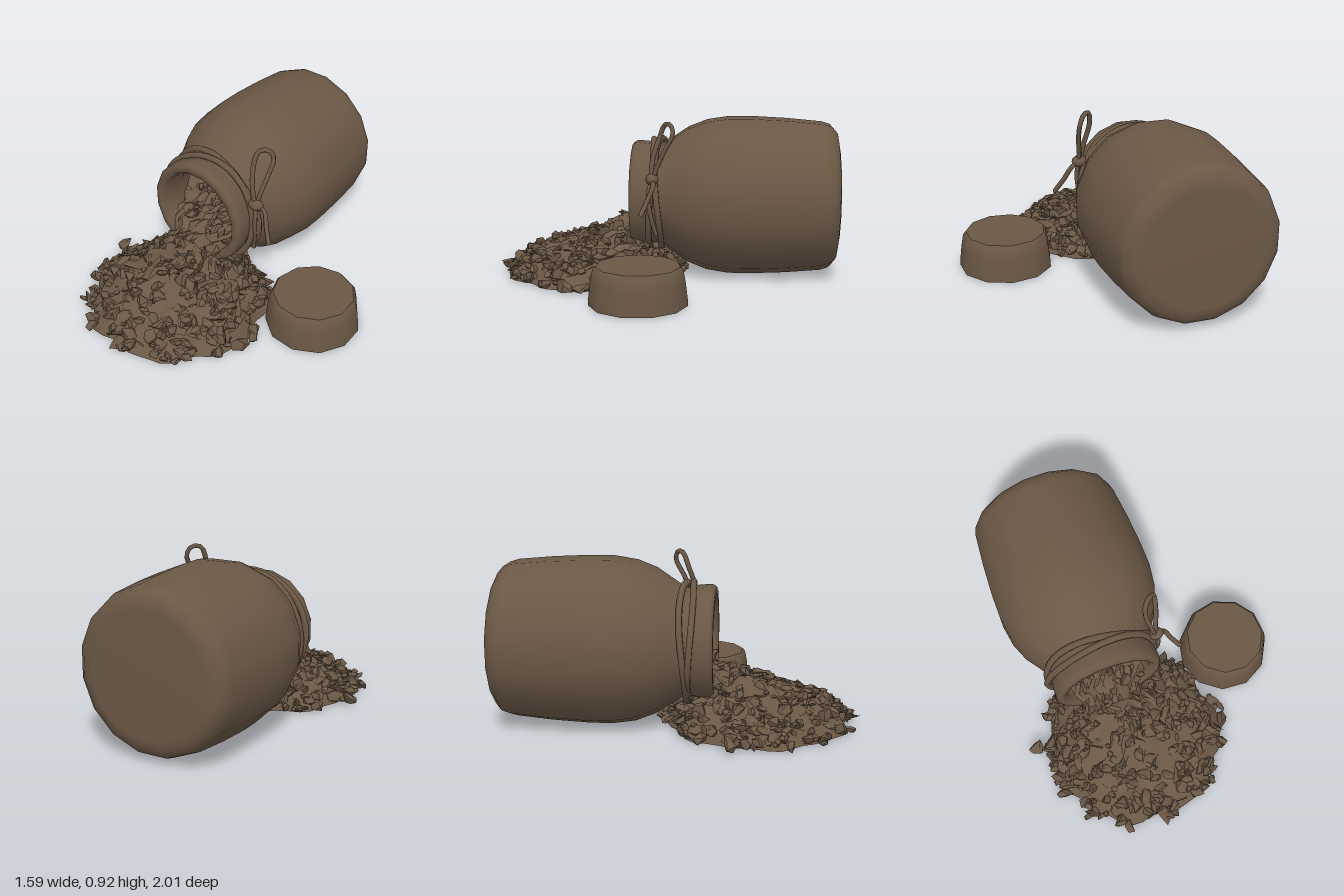
import * as THREE from 'three';
import { mergeGeometries, toCreasedNormals } from 'three/addons/utils/BufferGeometryUtils.js';

const JX = -0.24, JY = 0.46; // jar axis
const PX = -0.18, PZ = 0.44, PR = 0.51; // pile footprint

function seeded(seed) {
  return () => {
    seed = (seed * 1664525 + 1013904223) % 4294967296;
    return seed / 4294967296;
  };
}

// bumpy relief for loose material
const bump = (x, z) =>
  Math.sin(37 * x + 11 * z) * Math.cos(41 * z - 13 * x) * 0.6 + Math.sin(71 * x - 53 * z) * 0.4;

// point on the heap: angle a, t = 0 at the apex and 1 at the rim
function heapPoint(a, t) {
  const ax = JX + 0.02, az = 0.22;
  const r = PR * (1 + 0.035 * Math.sin(7 * a) + 0.025 * Math.cos(13 * a));
  const x = THREE.MathUtils.lerp(ax, PX + Math.cos(a) * r, t);
  const z = THREE.MathUtils.lerp(az, PZ + Math.sin(a) * r, t);
  const y = 0.03 + 0.28 * Math.pow(Math.max(0, 1 - t), 0.75);
  return new THREE.Vector3(x, y, z);
}

const innerRadius = (z) => 0.25 + 0.165 * THREE.MathUtils.smoothstep(-z, -0.05, 0.28);
const fillHeight = (z) => 0.43 - 0.1 * THREE.MathUtils.smoothstep(z, -0.2, 0.28);

function warp(geo, rule) {
  const p = geo.attributes.position, v = new THREE.Vector3();
  for (let i = 0; i < p.count; i++) {
    v.fromBufferAttribute(p, i);
    rule(v);
    p.setXYZ(i, v.x, v.y, v.z);
  }
  geo.computeVertexNormals();
  return geo;
}

// irregular angular lump
function chunk(center, size, rand) {
  const k = rand() * 20;
  const geo = warp(new THREE.IcosahedronGeometry(1, 0), (v) =>
    v.multiplyScalar(1 + 0.3 * Math.sin(k + v.x * 5 + v.y * 7 + v.z * 9)));
  geo.scale(size * (0.7 + rand() * 0.7), size * (0.35 + rand() * 0.5), size * (0.7 + rand() * 0.6));
  geo.rotateX((rand() - 0.5) * 1.8).rotateY(rand() * 6.28).rotateZ((rand() - 0.5) * 1.8);
  geo.translate(center.x, center.y, center.z);
  return warp(geo, (v) => { v.y = Math.max(0.005, v.y); });
}

export function createModel() {
  const group = new THREE.Group();
  const clay = new THREE.MeshStandardMaterial({ color: 0x6b5846 });
  clay.name = 'brown clay';
  const claySheet = clay;
  const rand = seeded(17);
  const add = (name, geo, parent = group) => {
    const mesh = new THREE.Mesh(geo, claySheet);
    mesh.name = name;
    parent.add(mesh);
    return mesh;
  };

  // jar: outer wall, lip, then inner wall
  const profile = [
    [0, -0.995], [0.33, -0.995], [0.385, -0.985], [0.425, -0.95], [0.44, -0.9], [0.458, -0.7],
    [0.468, -0.5], [0.468, -0.36], [0.448, -0.23], [0.405, -0.12], [0.345, -0.03], [0.305, 0.03],
    [0.298, 0.06], [0.312, 0.1], [0.318, 0.16], [0.317, 0.19], [0.305, 0.208], [0.27, 0.208],
    [0.252, 0.18], [0.25, 0.05], [0.3, -0.06], [0.4, -0.22], [0.425, -0.4], [0.41, -0.88], [0.35, -0.95], [0, -0.96],
  ].map(([r, y]) => new THREE.Vector2(r, y));
  const jar = add('jar', new THREE.LatheGeometry(profile, 16, Math.PI / 16));
  jar.rotation.x = Math.PI / 2;
  jar.position.set(JX, JY, 0);

  // cord wound twice around the neck
  const cord = new THREE.Group();
  cord.name = 'cord';
  group.add(cord);
  for (const [z, tilt, r] of [[0.045, 0.018, 0.326], [0.085, -0.012, 0.325]]) {
    const pts = [];
    for (let i = 0; i < 16; i++) {
      const a = (i / 16) * Math.PI * 2;
      const rr = r + 0.008 * Math.sin(3 * a + z * 50);
      pts.push(new THREE.Vector3(JX + Math.cos(a) * rr, JY + Math.sin(a) * rr, z + tilt * Math.sin(2 * a)));
    }
    add('cordRing', new THREE.TubeGeometry(new THREE.CatmullRomCurve3(pts, true), 40, 0.019, 6, true), cord);
  }
  const strand = (name, pts, closed = false) =>
    add(name, new THREE.TubeGeometry(
      new THREE.CatmullRomCurve3(pts.map((p) => new THREE.Vector3(...p)), closed), 24, 0.014, 6, closed), cord);
  strand('cordLoop', [[0.09, 0.6, 0.07], [0.065, 0.7, 0.07], [0.042, 0.83, 0.03], [0.055, 0.905, 0],
    [0.095, 0.908, -0.035], [0.12, 0.86, -0.05], [0.115, 0.76, 0], [0.1, 0.67, 0.04]], true);
  strand('cordTail', [[0.09, 0.6, 0.07], [0.14, 0.57, 0.06], [0.18, 0.49, 0.09], [0.225, 0.41, 0.125]]);
  strand('cordTail', [[0.09, 0.6, 0.07], [0.1, 0.52, 0.09], [0.09, 0.4, 0.08], [0.06, 0.27, 0.05]]);
  const knot = add('knot', new THREE.IcosahedronGeometry(0.042, 1), cord);
  knot.position.set(0.09, 0.6, 0.07);
  knot.scale.set(1.1, 0.8, 0.9);

  // lid lying flat beside the jar
  const lidProfile = [[0, 0.004], [0.268, 0.004], [0.268, 0.004], [0.266, 0.04], [0.255, 0.13], [0.243, 0.195], [0.228, 0.214], [0, 0.218]]
    .map(([r, y]) => new THREE.Vector2(r, y));
  const lid = add('lid', toCreasedNormals(new THREE.LatheGeometry(lidProfile, 11, 0.2), 0.75));
  lid.position.set(0.53, 0, 0.105);

  // spilled heap: bumpy top, skirt and flat underside
  const heap = new THREE.Group();
  heap.name = 'spilledHeap';
  group.add(heap);
  const top = warp(new THREE.RingGeometry(0.001, 1, 48, 12).rotateX(-Math.PI / 2), (v) => {
    const t = Math.hypot(v.x, v.z);
    v.copy(heapPoint(Math.atan2(v.z, v.x), t));
    v.y = t > 0.99 ? 0.004 : Math.max(0.01, v.y + 0.022 * bump(v.x, v.z));
  });
  add('heapTop', toCreasedNormals(top, 0.6), heap);
  add('heapBase', warp(new THREE.CircleGeometry(1, 48).rotateX(Math.PI / 2), (v) => {
    v.copy(heapPoint(Math.atan2(v.z, v.x), Math.hypot(v.x, v.z)));
    v.y = 0.004;
  }), heap);

  // material still inside the jar
  const fill = warp(new THREE.PlaneGeometry(2, 1.15, 16, 28).rotateX(-Math.PI / 2), (v) => {
    const u = v.x;
    v.z -= 0.285;
    v.y = fillHeight(v.z);
    const r = innerRadius(v.z) + 0.012;
    v.x = JX + u * Math.sqrt(r * r - (v.y - JY) ** 2) * (v.z > 0.2 ? 0.75 : 1);
    v.y += 0.03 * bump(v.x, v.z) - (v.z > 0.2 ? 0.07 * u * u : 0);
  });
  add('jarFilling', toCreasedNormals(fill, 0.6), heap);

  // lumps over the heap, its rim and the filling
  const lumps = [];
  for (let i = 0; i < 420; i++) {
    const t = Math.min(1.03, Math.sqrt(rand()) * 1.04);
    const p = heapPoint(rand() * Math.PI * 2, t);
    const underJar = p.z < 0.21 && Math.hypot(p.x - JX, p.y - JY) < 0.34;
    if (underJar) continue;
    lumps.push(chunk(p, 0.02 + rand() * 0.026, rand));
  }
  for (let i = 0; i < 60; i++) {
    const z = -0.35 + rand() * 0.62;
    const w = innerRadius(z) * 0.8;
    const p = new THREE.Vector3(JX + (rand() * 2 - 1) * w, fillHeight(z), z);
    lumps.push(chunk(p, 0.02 + rand() * 0.02, rand));
  }
  // strays beyond the rim
  for (const [x, z, s] of [[-0.75, 0.31, 0.05], [-0.7, 0.43, 0.025], [0.37, 0.45, 0.03], [0.33, 0.38, 0.03],
    [-0.4, 0.94, 0.035], [-0.16, 0.96, 0.03], [0.1, 0.88, 0.03], [-0.6, 0.8, 0.025]]) {
    lumps.push(chunk(new THREE.Vector3(x, s * 1.0, z), s, rand));
  }
  add('lumps', toCreasedNormals(mergeGeometries(lumps), 0.7), heap);

  // thin shreds sticking out of the heap
  const shreds = [];
  for (let i = 0; i < 40; i++) {
    const p = heapPoint(rand() * Math.PI * 2, 0.3 + rand() * 0.72);
    if (p.z < 0.23) continue;
    const g = new THREE.ConeGeometry(0.007, 0.08 + rand() * 0.05, 3);
    g.rotateZ(1.1 + rand() * 0.5).rotateY(rand() * 6.28).translate(p.x, p.y + 0.025, p.z);
    shreds.push(g);
  }
  add('shreds', mergeGeometries(shreds), heap);
  return group;
}
